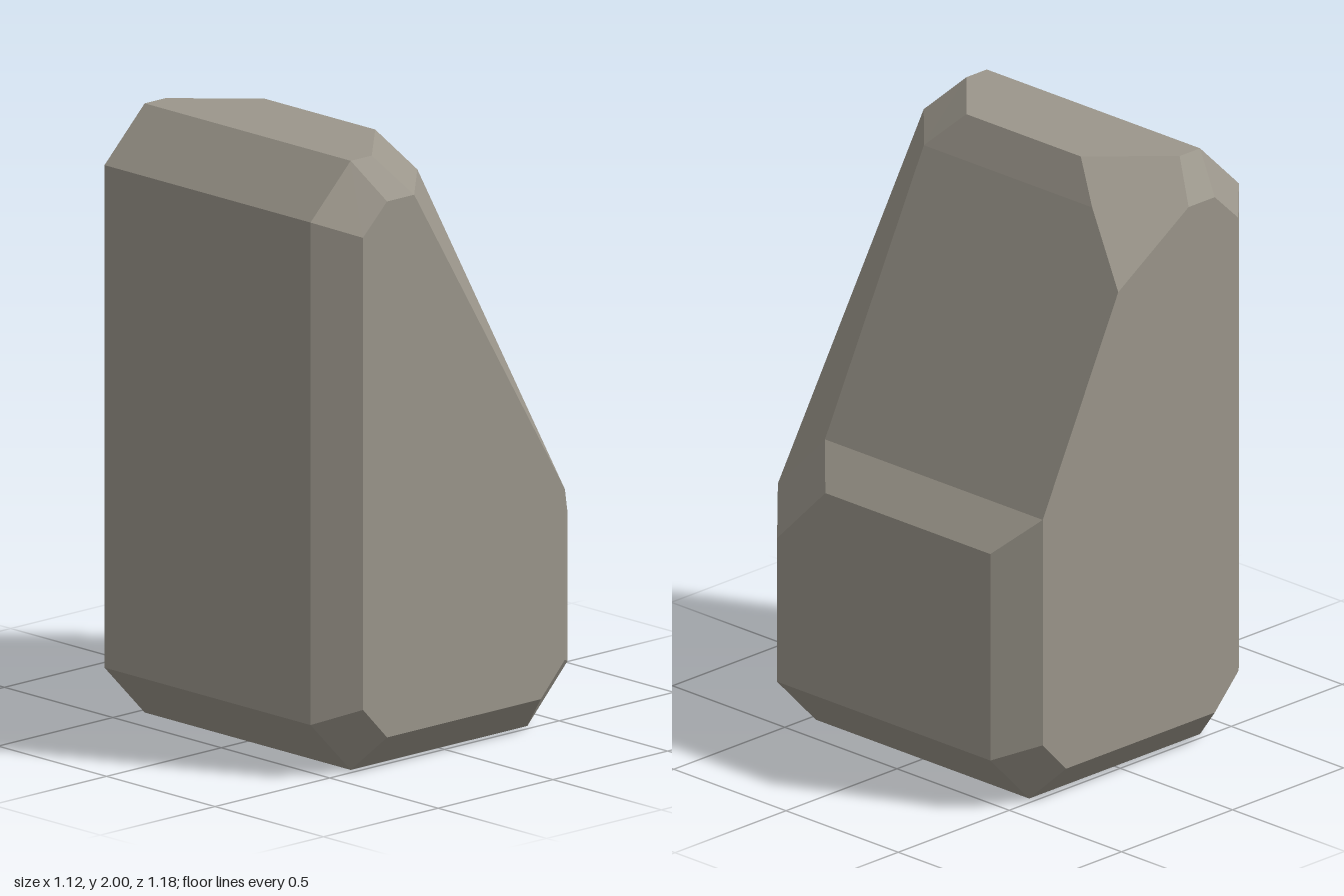
import * as THREE from 'three';

// Half-extents: outer walls (X, Z) and their bevelled insets (XI, ZI)
const X = 0.56, XI = 0.44, Z = 0.59, ZI = 0.475;
const centre = new THREE.Vector3(0, 0.8, 0);

// Flat-faced mesh from polygons; every triangle is wound to face outwards
function facetMesh(name, polygons, material) {
  const points = [];
  for (const polygon of polygons) {
    const p = polygon.map(c => new THREE.Vector3(...c));
    for (let i = 1; i < p.length - 1; i++) {
      const tri = new THREE.Triangle(p[0], p[i], p[i + 1]);
      const out = tri.getMidpoint(new THREE.Vector3()).sub(centre);
      const faces = tri.getNormal(new THREE.Vector3()).dot(out) > 0;
      points.push(...(faces ? [p[0], p[i], p[i + 1]] : [p[0], p[i + 1], p[i]]));
    }
  }
  const geometry = new THREE.BufferGeometry().setFromPoints(points);
  geometry.computeVertexNormals();
  const mesh = new THREE.Mesh(geometry, material);
  mesh.name = name;
  return mesh;
}

export function createModel() {
  const stone = new THREE.MeshStandardMaterial({ color: 0x9b968b });
  stone.name = 'warm grey stone';

  // Corners shared by the foot, walls and crown; s is the sign of z
  const foot = (sx, s) => [sx * 0.385, 0, s * ZI];
  const footEdge = (sx, s) => [sx * 0.335, 0.12, s * Z];
  const lowFace = (sx, s) => [sx * XI, 0.23, s * Z];
  const lowSide = (sx, s) => [sx * X, 0.18, s * ZI];
  const highFace = s => [-XI, 1.78, s * Z];
  const highSide = s => [-X, 1.83, s * ZI];
  const brow = s => [-0.335, 1.88, s * Z];
  const browEnd = s => [-0.217, 1.88, s * Z];
  const top = s => [-0.385, 2, s * ZI];
  const topEnd = s => [-0.293, 2, s * ZI];
  const ridge = s => [-0.07, 2, s * 0.255];
  const shoulder = s => [0, 1.88, s * 0.375];

  // Corners around the sloping side
  const slopeBack = [0.1, 1.68, -Z];
  const ledgeBack = [XI, 1, -Z], ledgeFront = [XI, 1, 0.38];
  const lipBack = [X, 0.885, -ZI], lipFront = [X, 0.885, 0.26];
  const cutSide = [X, 0.67, ZI], cutFace = [XI, 0.79, Z];

  const base = [[foot(-1, 1), foot(1, 1), foot(1, -1), foot(-1, -1)]];
  const walls = [
    [lowSide(-1, 1), highSide(1), highSide(-1), lowSide(-1, -1)],
    [lowSide(1, 1), cutSide, lipFront, lipBack, lowSide(1, -1)],
    [footEdge(-1, 1), lowFace(-1, 1), highFace(1), brow(1), browEnd(1),
      cutFace, lowFace(1, 1), footEdge(1, 1)],
    [footEdge(-1, -1), lowFace(-1, -1), highFace(-1), brow(-1), browEnd(-1),
      slopeBack, ledgeBack, lowFace(1, -1), footEdge(1, -1)],
    [lowFace(1, 1), cutFace, cutSide, lowSide(1, 1)],
    [lowFace(1, -1), ledgeBack, lipBack, lowSide(1, -1)],
  ];
  const crown = [
    [top(1), topEnd(1), ridge(1), ridge(-1), topEnd(-1), top(-1)],
    [top(1), top(-1), highSide(-1), highSide(1)],
    [topEnd(1), ridge(1), shoulder(1), browEnd(1)],
    [shoulder(-1), ridge(-1), topEnd(-1), browEnd(-1), slopeBack],
  ];
  for (const s of [1, -1]) {
    // Bevels mirrored front to back
    walls.push([lowFace(-1, s), highFace(s), highSide(s), lowSide(-1, s)]);
    crown.push([top(s), topEnd(s), browEnd(s), brow(s)]);
    crown.push([top(s), brow(s), highFace(s), highSide(s)]);
    base.push([foot(-1, s), foot(1, s), footEdge(1, s), footEdge(-1, s)]);
    // Bevels under each side and at each bottom corner
    base.push([foot(s, 1), foot(s, -1), lowSide(s, -1), lowSide(s, 1)]);
    for (const sx of [1, -1])
      base.push([foot(sx, s), lowSide(sx, s), lowFace(sx, s), footEdge(sx, s)]);
  }
  // Long slope, its front bevel and the small ledge below it
  const slope = [
    [shoulder(1), ridge(1), ridge(-1), shoulder(-1), slopeBack, ledgeBack, ledgeFront],
    [shoulder(1), ledgeFront, cutFace, browEnd(1)],
    [ledgeFront, ledgeBack, lipBack, lipFront],
    [ledgeFront, lipFront, cutSide, cutFace],
  ];

  const group = new THREE.Group();
  group.name = 'rock';
  group.add(
    facetMesh('base', base, stone),
    facetMesh('walls', walls, stone),
    facetMesh('crown', crown, stone),
    facetMesh('slope', slope, stone),
  );
  return group;
}
